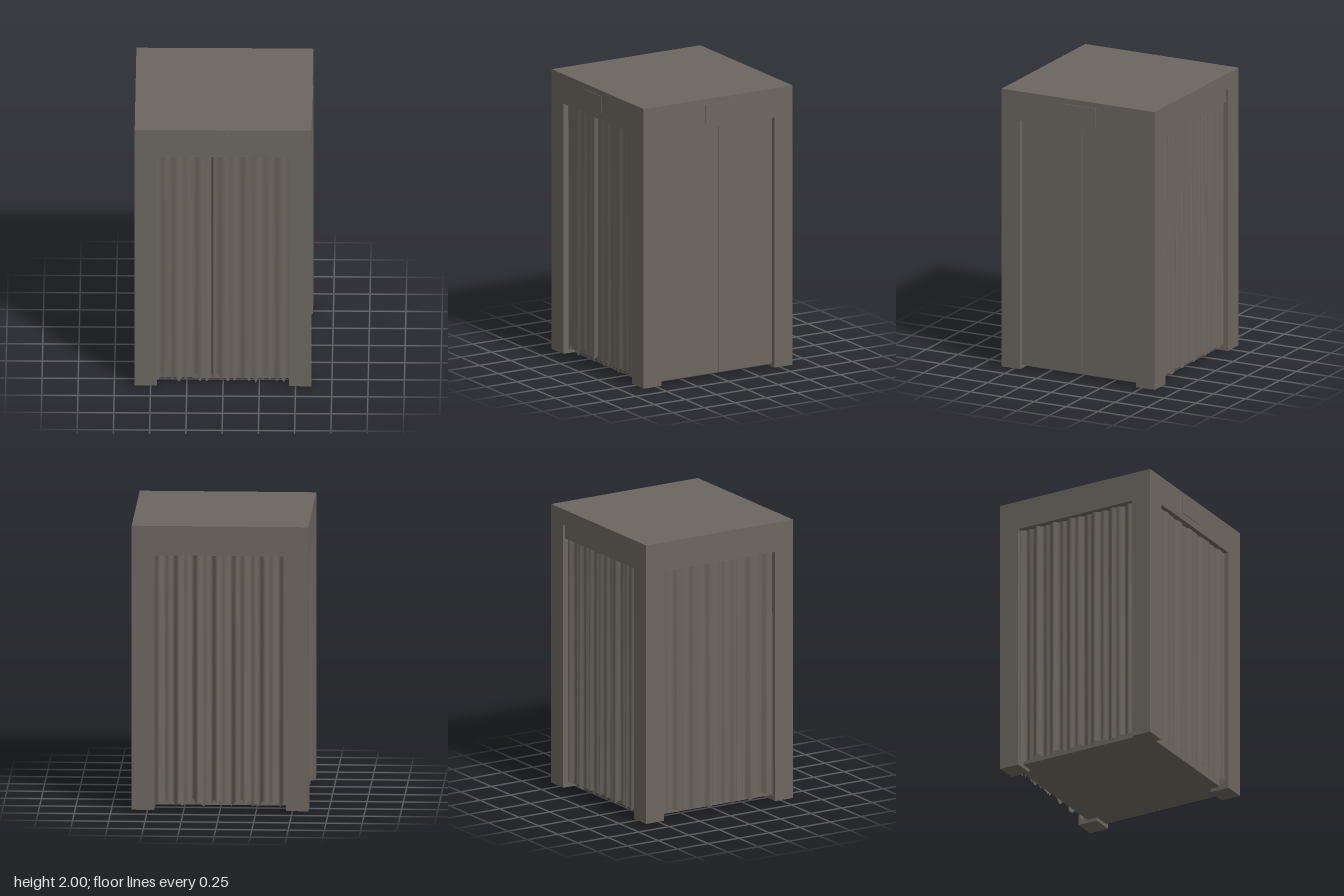
import * as THREE from 'three';

const HX = 0.61, HZ = 0.6;      // half width and half depth
const OPEN = 0.455;             // half width of each opening
const LINTEL = 1.79, ROOF = 1.89;

export function createModel() {
  const model = new THREE.Group();
  model.name = 'booth';
  const grey = new THREE.MeshStandardMaterial({ color: 0x6c665f });
  grey.name = 'warm grey';
  grey.side = THREE.DoubleSide;

  // box given by its lower and upper corners
  const box = (name, a, b) => {
    const mesh = new THREE.Mesh(new THREE.BoxGeometry(b[0] - a[0], b[1] - a[1], b[2] - a[2]), grey);
    mesh.position.set((a[0] + b[0]) / 2, (a[1] + b[1]) / 2, (a[2] + b[2]) / 2);
    mesh.name = name;
    model.add(mesh);
  };

  // roof, floor and corner posts
  box('roof', [-HX, ROOF, -HZ], [HX, 2, HZ]);
  box('floor', [-0.54, 0.025, -0.53], [0.54, 0.1, 0.53]);
  for (const sx of [-1, 1]) for (const sz of [-1, 1]) {
    const x = [sx * OPEN, sx * HX].sort((p, q) => p - q);
    const z = [sz * OPEN, sz * HZ].sort((p, q) => p - q);
    box('cornerPost', [x[0], 0, z[0]], [x[1], ROOF, z[1]]);
  }

  // lintels; the back one is a sunken panel
  box('frontLintel', [-OPEN, LINTEL, 0.46], [OPEN, ROOF, HZ]);
  box('backLintel', [-OPEN, LINTEL, -HZ + 0.014], [OPEN, ROOF, -0.46]);
  box('leftLintel', [OPEN, LINTEL, -OPEN], [HX, ROOF, OPEN]);
  box('rightLintel', [-HX, LINTEL, -OPEN], [-OPEN, ROOF, OPEN]);

  // small sign plates above the openings
  box('frontPlate', [-0.17, 1.84, HZ], [0.05, 1.96, HZ + 0.005]);
  box('sidePlate', [HX, 1.83, -0.14], [HX + 0.005, 1.96, 0.1]);

  // double door on one side, with a narrow seam
  box('doorBacking', [0.54, 0.025, -OPEN], [0.565, LINTEL, OPEN]);
  box('doorPanel', [0.565, 0.025, -0.017], [0.58, LINTEL, OPEN]);
  box('doorPanel', [0.565, 0.025, -OPEN], [0.58, LINTEL, -0.023]);

  // pleated curtain facing +z, with an uneven hem
  const curtain = (name, depth, folds, phase, split) => {
    const geo = new THREE.PlaneGeometry(2 * OPEN, 1, 180, 12);
    const p = geo.attributes.position;
    for (let i = 0; i < p.count; i++) {
      const x = p.getX(i), t = p.getY(i) + 0.5;
      const u = x * folds * Math.PI / OPEN + phase;
      // uneven pleats that deepen slightly towards the hem
      const pleat = 0.6 * Math.sin(u + 0.8 * Math.sin(x * 9 + phase)) + 0.4 * Math.sin(2.3 * u + 1);
      let z = depth * pleat * (1.1 - 0.3 * t);
      if (split !== null) z -= 0.03 * Math.exp(-(((x - split) / 0.012) ** 2));
      const rag = Math.sin(x * 47 + phase) * Math.sin(x * 83 + 2) + 0.5 * Math.sin(x * 131);
      const hem = 0.045 + 0.022 * rag;
      p.setXYZ(i, x, hem + (LINTEL - hem) * t, z);
    }
    geo.computeVertexNormals();
    const mesh = new THREE.Mesh(geo, grey);
    mesh.name = name;
    model.add(mesh);
    return mesh;
  };
  curtain('frontCurtain', 0.009, 5, 0.4, -0.085).position.z = HZ - 0.035;
  const back = curtain('backCurtain', 0.02, 6, 1.3, null);
  back.position.z = -HZ + 0.04;
  back.rotation.y = Math.PI;
  const side = curtain('sideCurtain', 0.02, 6, 2.6, null);
  side.position.x = -HX + 0.04;
  side.rotation.y = -Math.PI / 2;

  return model;
}
